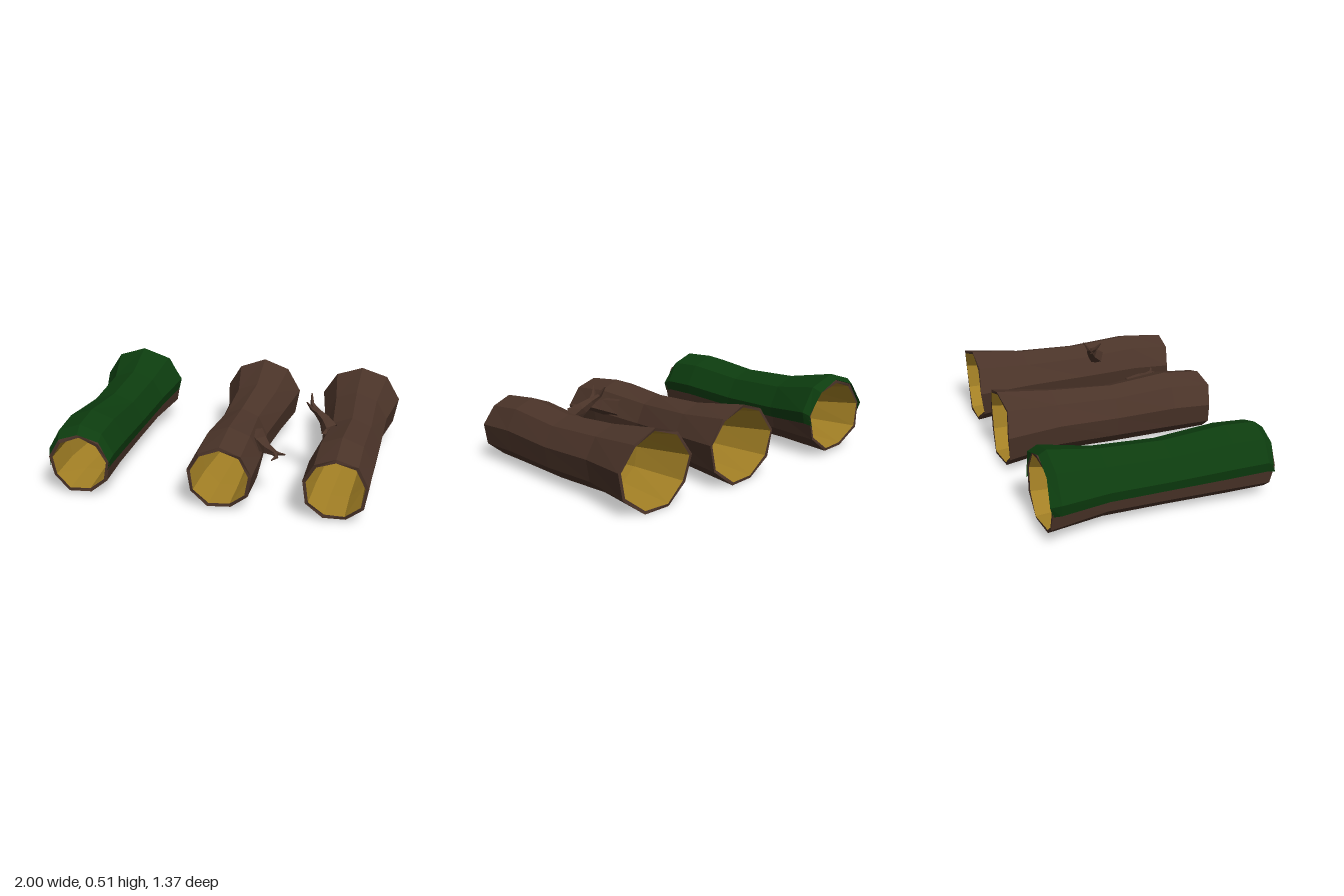
import * as THREE from 'three';

const SIDES = 9;
const mat = (color) => new THREE.MeshStandardMaterial({ color, flatShading: true, side: THREE.DoubleSide });
const bark = mat(0x4b3429), wood = mat(0xa38025), moss = mat(0x0d3d0f);
const rad = THREE.MathUtils.degToRad;
const V = (x, y, z) => new THREE.Vector3(x, y, z);

// Skins a list of equal-length rings with flat quads
function loft(name, rings, material, closed = true) {
  const pos = [];
  for (let i = 0; i < rings.length - 1; i++) {
    const A = rings[i], B = rings[i + 1], n = A.length;
    for (let j = 0; j < (closed ? n : n - 1); j++) {
      const k = (j + 1) % n;
      for (const p of [A[j], B[j], A[k], A[k], B[j], B[k]]) pos.push(p.x, p.y, p.z);
    }
  }
  const g = new THREE.BufferGeometry();
  g.setAttribute('position', new THREE.Float32BufferAttribute(pos, 3));
  g.computeVertexNormals();
  const mesh = new THREE.Mesh(g, material);
  mesh.name = name;
  return mesh;
}

// Nine-sided section filling the bounds [z, xMin, xMax, yMin, yMax], shrunk by inset
function section([z, x0, x1, y0, y1], inset = 0, jag = 0, seed = 0) {
  const rx = (x1 - x0) / 1.97, ry = (y1 - y0) / 1.94;
  const cx = (x0 + x1) / 2, cy = y1 - ry;
  return Array.from({ length: SIDES }, (_, j) => {
    const a = rad(10 + j * 40);
    return V(cx + (rx - inset) * Math.cos(a), cy + (ry - inset) * Math.sin(a),
      z + jag * Math.sin(j * 2.3 + seed));
  });
}

// Hollow log: outer bark, rims at both ends and a pale inner wall
function makeLog(name, bounds, seed, blocked) {
  const log = new THREE.Group();
  log.name = name;
  const last = bounds.length - 1;
  const jag = (i) => (i === 0 || i === last ? 0.012 : 0);
  const outer = bounds.map((b, i) => section(b, 0, jag(i), seed));
  const insets = [0.02, 0.028, 0.03, 0.03, 0.018];
  const inner = bounds.map((b, i) => section(b, insets[i], jag(i), seed + 0.4));
  log.add(loft('bark', outer, bark));
  log.add(loft('frontRim', [inner[0], outer[0]], bark));
  log.add(loft('backRim', [outer[last], inner[last]], bark));
  log.add(loft('innerWall', [...inner].reverse(), wood));
  if (blocked) {
    // Wall closing the hollow half way along
    const mid = inner[2];
    const centre = mid.reduce((s, p) => s.add(p), V(0, 0, 0)).divideScalar(SIDES);
    centre.z -= 0.02;
    log.add(loft('innerPlug', [mid.map(() => centre), mid], wood));
  }
  return log;
}

// Tapered twig along points [x, y, z, radius]
function twig(name, path) {
  const pts = path.map(([x, y, z]) => V(x, y, z));
  const rings = path.map((p, i) => {
    const d = pts[Math.min(i + 1, pts.length - 1)].clone().sub(pts[Math.max(i - 1, 0)]).normalize();
    const u = V(0.3, 0.2, 1).cross(d).normalize();
    const v = u.clone().cross(d);
    return Array.from({ length: 5 }, (_, j) => {
      const a = (j / 5) * Math.PI * 2;
      return pts[i].clone().addScaledVector(u, p[3] * Math.cos(a)).addScaledVector(v, p[3] * Math.sin(a));
    });
  });
  rings.push(rings.at(-1).map(() => pts.at(-1)));
  return loft(name, rings, bark);
}

// Moss blanket over the upper half, edges tucked into the bark
function makeMoss(bounds) {
  const rings = bounds.map(([z, x0, x1, y0, y1]) => {
    const rx = (x1 - x0) / 1.97, ry = (y1 - y0) / 1.94;
    return [-8, 10, 50, 90, 130, 170, 188].map((deg, j) => {
      const k = j === 0 || j === 6 ? 0.93 : 1, a = rad(deg);
      return V((x0 + x1) / 2 + k * rx * Math.cos(a), y1 - ry + k * ry * Math.sin(a),
        z + (Math.abs(z) > 0.66 ? 0.01 * Math.sin(j * 2.3) : 0));
    });
  });
  return loft('moss', rings, moss, false);
}

export function createModel() {
  const model = new THREE.Group();
  model.name = 'hollowLogs';

  // Mossy log
  const mossyLog = makeLog('mossyLog', [
    [0.665, -0.905, -0.535, 0.025, 0.375],
    [0.42, -0.91, -0.54, 0.03, 0.405],
    [0.05, -0.885, -0.55, 0.03, 0.38],
    [-0.33, -0.89, -0.54, 0.035, 0.405],
    [-0.67, -0.975, -0.495, 0.025, 0.465],
  ], 0, true);
  mossyLog.add(makeMoss([
    [0.67, -0.905, -0.535, 0.03, 0.38],
    [0.62, -0.92, -0.525, 0.03, 0.425],
    [0.42, -0.93, -0.52, 0.03, 0.44],
    [0.05, -0.905, -0.53, 0.03, 0.41],
    [-0.33, -0.915, -0.52, 0.03, 0.432],
    [-0.63, -1.0, -0.478, 0.03, 0.495],
    [-0.68, -0.975, -0.495, 0.03, 0.467],
  ]));

  // Middle log with a side branch
  const middleLog = makeLog('middleLog', [
    [0.665, -0.08, 0.3, 0.02, 0.38],
    [0.42, -0.08, 0.3, 0.02, 0.41],
    [0.05, -0.055, 0.26, 0.02, 0.385],
    [-0.33, -0.07, 0.3, 0.03, 0.41],
    [-0.67, -0.15, 0.34, 0.005, 0.465],
  ], 1, true);
  middleLog.add(
    twig('sideBranch', [[0.23, 0.28, 0.24, 0.07], [0.285, 0.285, 0.34, 0.055], [0.335, 0.285, 0.4, 0.032], [0.39, 0.285, 0.45, 0.018]]),
    twig('sideTwigOuter', [[0.375, 0.285, 0.435, 0.018], [0.41, 0.285, 0.452, 0.011], [0.45, 0.295, 0.475, 0.004]]),
    twig('sideTwigFront', [[0.375, 0.285, 0.435, 0.018], [0.4, 0.275, 0.475, 0.013], [0.375, 0.262, 0.5, 0.004]]),
  );

  // Open log with a forked branch on top
  const openLog = makeLog('openLog', [
    [0.665, 0.58, 0.95, 0.02, 0.38],
    [0.42, 0.58, 0.95, 0.02, 0.41],
    [0.05, 0.6, 0.95, 0.02, 0.385],
    [-0.33, 0.56, 0.95, 0.03, 0.41],
    [-0.67, 0.5, 1.0, 0.005, 0.46],
  ], 2, false);
  openLog.add(
    twig('topBranch', [[0.66, 0.34, 0.16, 0.055], [0.62, 0.385, 0.115, 0.036], [0.56, 0.43, 0.085, 0.02]]),
    twig('topTwigBack', [[0.575, 0.42, 0.09, 0.022], [0.535, 0.455, 0.062, 0.014], [0.525, 0.51, 0.025, 0.004]]),
    twig('topTwigFront', [[0.575, 0.42, 0.09, 0.022], [0.54, 0.45, 0.115, 0.013], [0.515, 0.495, 0.143, 0.004]]),
  );

  model.add(mossyLog, middleLog, openLog);
  return model;
}
